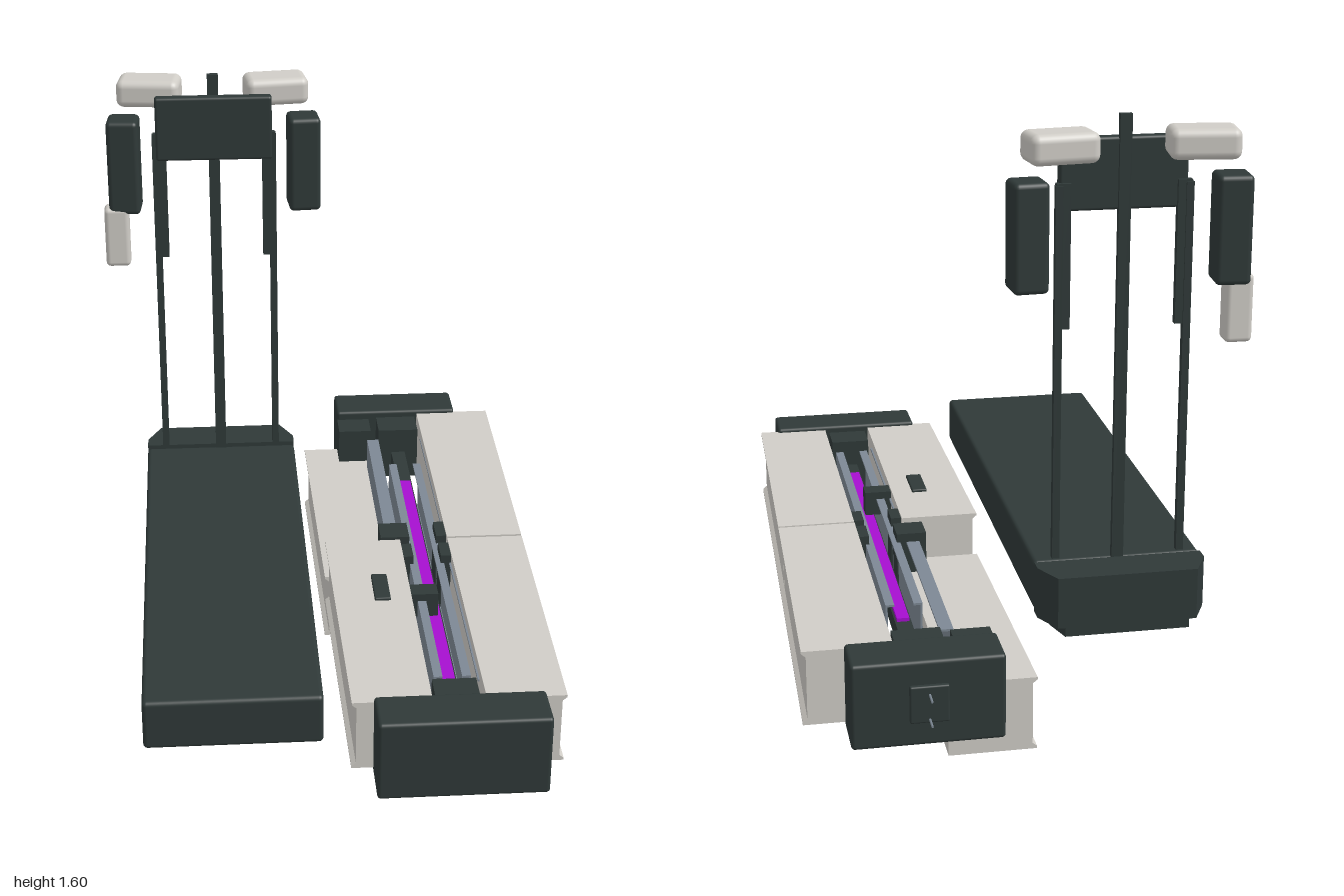
import * as THREE from 'three';
import { RoundedBoxGeometry } from 'three/addons/geometries/RoundedBoxGeometry.js';

export function createModel() {
  const model = new THREE.Group();
  model.name = 'exercisePlatform';
  const mat = (name, color) => {
    const m = new THREE.MeshStandardMaterial({ color });
    m.name = name;
    return m;
  };
  const dark = mat('charcoal', 0x2f3938);
  const pale = mat('warmWhite', 0xd0cdc7);
  const steel = mat('blueGrey', 0x7d8894);
  const purple = mat('purple', 0xa60fd0);

  const add = (name, geometry, material) => {
    const mesh = new THREE.Mesh(geometry, material);
    mesh.name = name;
    model.add(mesh);
    return mesh;
  };
  // Box given by its extents, rounded when r is set
  const box = (name, material, [x0, x1], [y0, y1], [z0, z1], r = 0) => {
    const size = [x1 - x0, y1 - y0, z1 - z0];
    const g = r ? new RoundedBoxGeometry(...size, 3, r) : new THREE.BoxGeometry(...size);
    const mesh = add(name, g, material);
    mesh.position.set((x0 + x1) / 2, (y0 + y1) / 2, (z0 + z1) / 2);
    return mesh;
  };
  const shapeOf = (pts) => new THREE.Shape(pts.map(([x, y]) => new THREE.Vector2(x, y)));
  // Profile in x and y, extruded from z0 to z1
  const extrudeZ = (pts, z0, z1) =>
    new THREE.ExtrudeGeometry(shapeOf(pts), { depth: z1 - z0, bevelEnabled: false }).translate(0, 0, z0);

  // ---- Bench pad and upright frame ----
  const cx = -0.28;
  box('benchPad', dark, [-0.51, -0.05], [0.25, 0.39], [-0.47, 0.935], 0.012);

  // Base behind the pad, narrowing to the back
  const base = (name, wFront, wBack, y0, y1) => {
    const g = new THREE.ExtrudeGeometry(
      shapeOf([[-wFront, 0.48], [wFront, 0.48], [wFront, 0.52], [wBack, 0.6], [-wBack, 0.6], [-wFront, 0.52]]),
      { depth: y1 - y0, bevelEnabled: false });
    g.rotateX(-Math.PI / 2);
    add(name, g, dark).position.set(cx, y0, 0);
  };
  base('uprightBase', 0.23, 0.19, 0.25, 0.393);
  base('uprightBaseFoot', 0.195, 0.17, 0.225, 0.25);

  box('centrePost', dark, [cx - 0.016, cx + 0.016], [0.385, 1.6], [-0.475, -0.458]);
  box('headPanel', dark, [-0.45, -0.11], [1.35, 1.54], [-0.465, -0.43], 0.008);
  for (const s of [-1, 1]) {
    const px = cx + s * 0.172;
    box('sidePost', dark, [px - 0.01, px + 0.01], [0.4, 1.42], [-0.48, -0.46]);
    const sx = cx + s * 0.16;
    box('sidePostSleeve', dark, [sx - 0.019, sx + 0.019], [1.04, 1.425], [-0.475, -0.455]);
    const ax = cx + s * 0.267;
    const armPad = box('armPad', dark, [ax - 0.047, ax + 0.047], [1.165, 1.452], [-0.582, -0.484], 0.014);
    armPad.rotation.y = s * 0.07;
    const shoulder = box('shoulderPad', pale, [ax + s * -0.082 - 0.092, ax + s * -0.082 + 0.092],
      [1.495, 1.575], [-0.593, -0.478], 0.022);
    shoulder.rotation.y = s * 0.12;
  }
  box('forearmPad', pale, [-0.612, -0.538], [1.0, 1.185], [-0.546, -0.484], 0.014);

  // ---- Rail unit ----
  const rx = 0.305;
  // Cover panel: tapered outer wall with thin lips at top and bottom
  const panel = (name, s, z0, z1, drop) => {
    const y0 = 0.127 - drop, y1 = 0.33 - drop;
    const w0 = 0.07, w1 = 0.303, lip = 0.012;
    const pts = [[w0, y0], [w1, y0], [w1, y0 + 0.006], [w1 - lip, y0 + 0.016],
      [w1 - lip, y1 - 0.016], [w1, y1 - 0.006], [w1, y1], [w0, y1]];
    const g = extrudeZ(pts.map(([x, y]) => [s * x, y]), z0, z1);
    const p = g.attributes.position;
    for (let i = 0; i < p.count; i++) {
      if (Math.abs(p.getX(i)) > 0.2) p.setX(i, p.getX(i) - s * 0.014 * (p.getZ(i) + 0.785));
    }
    g.computeVertexNormals();
    add(name, g, pale).position.x = rx;
  };
  panel('frontLeftCover', 1, 0.053, 0.88, 0);
  panel('backLeftCover', 1, -0.785, 0.044, 0);
  panel('frontRightCover', -1, 0.053, 0.88, 0);
  panel('loweredBackRightCover', -1, -0.78, 0.044, 0.125);

  // End housings
  box('frontHousing', dark, [0.083, 0.53], [0.112, 0.342], [0.868, 1.0], 0.01);
  box('backHousing', dark, [0.11, 0.5], [0.112, 0.342], [-0.915, -0.778], 0.01);
  box('frontRailBlock', dark, [0.245, 0.362], [0.15, 0.32], [0.77, 0.87]);
  box('backRailBlock', dark, [0.24, 0.368], [0.15, 0.32], [-0.78, -0.68]);
  for (const s of [-1, 1]) {
    const bx = rx + s * 0.142;
    box('backCornerBlock', dark, [bx - 0.052, bx + 0.052], [0.17, 0.315], [-0.78, -0.69]);
  }

  // Rear socket with two pins
  box('rearSocket', dark, [0.255, 0.355], [0.18, 0.28], [-0.93, -0.914], 0.005);
  for (const y of [0.19, 0.257]) {
    const pin = add('socketPin', new THREE.CylinderGeometry(0.003, 0.003, 0.05, 8), steel);
    pin.rotation.x = Math.PI / 2;
    pin.position.set(rx, y, -0.945);
  }

  // Central bar with a coloured strip
  box('centreBar', dark, [rx - 0.022, rx + 0.022], [0.19, 0.24], [-0.69, 0.78]);
  box('lightStrip', purple, [rx - 0.017, rx + 0.017], [0.18, 0.25], [-0.46, 0.67]);

  // Channel rails on both sides
  const channel = (name, s, xIn, xOut, y0, y1, z0, z1) => {
    const t = 0.006;
    const pts = [[xOut, y0], [xOut, y1], [xIn, y1], [xIn, y1 - t], [xOut - t, y1 - t],
      [xOut - t, y0 + t], [xIn, y0 + t], [xIn, y0]];
    add(name, extrudeZ(pts.map(([x, y]) => [s * x, y]), z0, z1), steel).position.x = rx;
  };
  for (const s of [-1, 1]) {
    channel('innerRail', s, 0.026, 0.05, 0.145, 0.3, -0.48, 0.73);
    channel('backOuterRail', s, 0.068, 0.105, 0.15, 0.3, -0.655, -0.02);
    channel('frontOuterRail', s, 0.065, 0.105, 0.15, 0.3, 0.08, 0.75);
    // Rail clips
    const far = s < 0 ? 0.125 : 0.08;
    for (const [z0, z1, out] of [[-0.055, 0.03, far], [0.07, 0.145, 0.075]]) {
      const a = rx + s * 0.04, b = rx + s * out;
      box('railClip', dark, [Math.min(a, b), Math.max(a, b)], [0.15, 0.325], [z0, z1]);
    }
  }
  box('slider', dark, [0.235, 0.313], [0.25, 0.322], [0.295, 0.35]);
  box('coverButton', dark, [0.13, 0.175], [0.325, 0.338], [0.255, 0.388], 0.004);
  return model;
}
